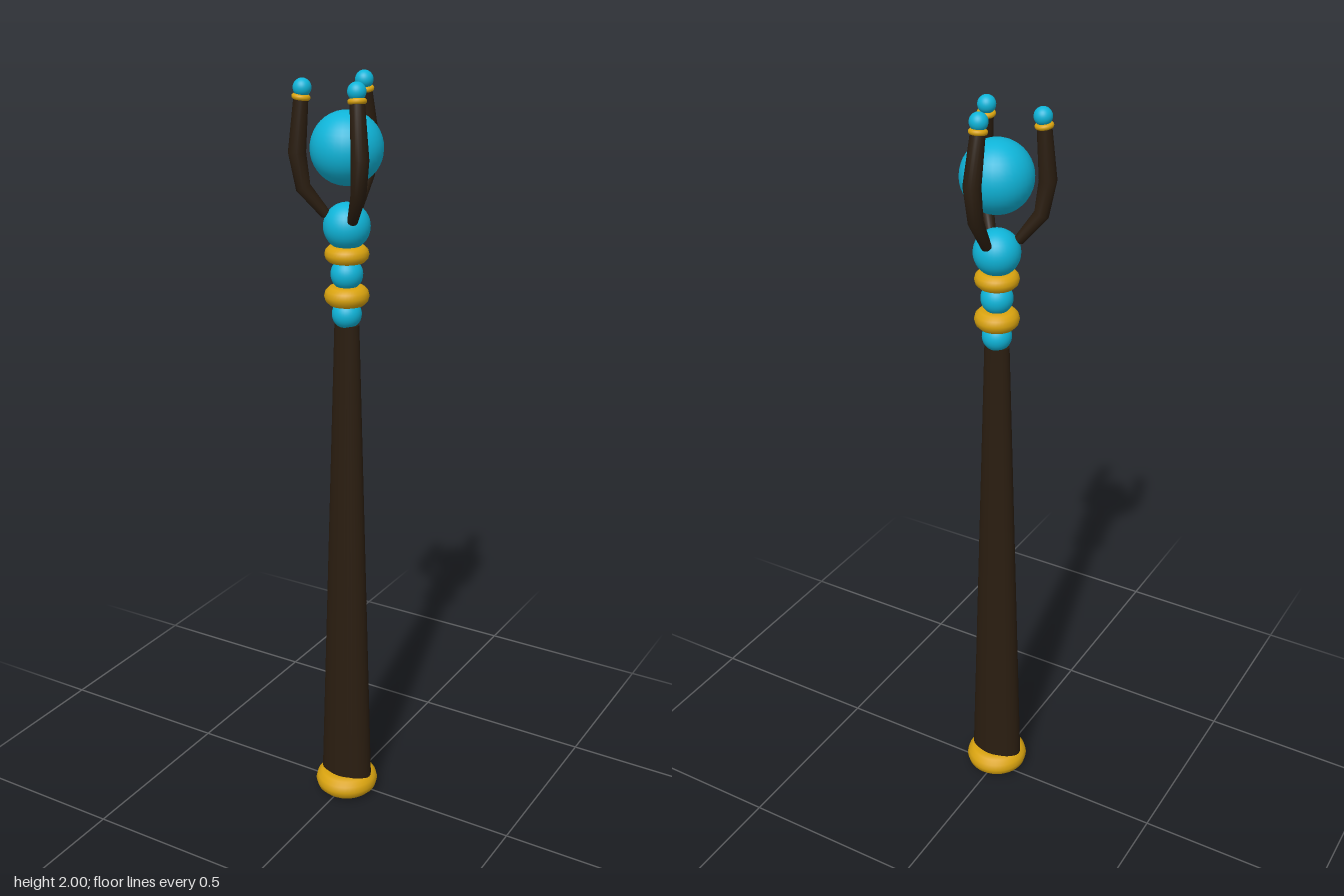
import * as THREE from 'three';

const blue = new THREE.MeshStandardMaterial({ color: 0x0fb4d8 });
const gold = new THREE.MeshStandardMaterial({ color: 0xd9a30f });
const wood = new THREE.MeshStandardMaterial({ color: 0x2a1d10, side: THREE.DoubleSide });

function add(parent, name, geometry, material, x = 0, y = 0, z = 0) {
  const mesh = new THREE.Mesh(geometry, material);
  mesh.name = name;
  mesh.position.set(x, y, z);
  parent.add(mesh);
  return mesh;
}

const ball = (r) => new THREE.SphereGeometry(r, 32, 20);
const ring = (r, tube) => new THREE.TorusGeometry(r, tube, 12, 40).rotateX(Math.PI / 2);

// Bent tapering rod in the XY plane; each section is [x, y, radius]
function bentRod(sections, sides = 16) {
  const pos = [], index = [];
  const last = sections.length - 1;
  sections.forEach(([x, y, r], i) => {
    const a = sections[Math.max(i - 1, 0)], b = sections[Math.min(i + 1, last)];
    const len = Math.hypot(b[0] - a[0], b[1] - a[1]);
    const nx = (b[1] - a[1]) / len, ny = -(b[0] - a[0]) / len;
    for (let j = 0; j < sides; j++) {
      const t = (j / sides) * Math.PI * 2;
      const c = Math.cos(t) * r;
      pos.push(x + nx * c, y + ny * c, Math.sin(t) * r);
      if (i < last) {
        const k = (j + 1) % sides;
        const p = i * sides + j, q = i * sides + k;
        index.push(p, p + sides, q, q, p + sides, q + sides);
      }
    }
  });
  const g = new THREE.BufferGeometry();
  g.setAttribute('position', new THREE.Float32BufferAttribute(pos, 3));
  g.setIndex(index);
  g.computeVertexNormals();
  return g;
}

// Claw leaning outwards from the staff axis, with a gold band and a bead at the tip
function claw(name, degrees, bead, band, bend, elbow, foot) {
  const g = new THREE.Group();
  g.name = name;
  add(g, 'clawRod', bentRod([
    [foot[0] - 0.006, foot[1] - 0.007, 0.005],
    [...foot, 0.013],
    [...elbow, 0.019],
    [...bend, 0.022],
    [...band, 0.018],
    [bead[0], bead[1] - 0.008, 0.014],
  ]), wood);
  const tipBand = add(g, 'clawBand', ring(0.016, 0.007), gold, ...band);
  tipBand.rotation.z = Math.atan2(band[0] - bead[0], bead[1] - band[1]);
  add(g, 'clawBead', ball(0.0225), blue, ...bead);
  g.rotation.y = -THREE.MathUtils.degToRad(degrees);
  return g;
}

export function createModel() {
  const staff = new THREE.Group();
  staff.name = 'staff';
  staff.position.set(0.004, 0, 0.018);

  // Shaft: tapering, flattened from front to back
  const shaft = new THREE.CylinderGeometry(0.034, 0.075, 1.35, 32, 1).scale(1, 1, 0.67);
  add(staff, 'shaft', shaft, wood, 0, 0.71, 0);
  add(staff, 'footRing', ring(0.055, 0.032), gold, 0, 0.033, 0);

  // Neck: alternating beads and rings
  [[1.412, 0.038], [1.515, 0.041], [1.635, 0.059]].forEach(([y, r]) =>
    add(staff, 'neckBead', ball(r), blue, 0, y, 0));
  [[1.46, 0.031, 0.026], [1.566, 0.034, 0.022]].forEach(([y, r, tube]) =>
    add(staff, 'neckRing', ring(r, tube), gold, 0, y, 0));

  // Orb held by three claws
  add(staff, 'orb', ball(0.09), blue, 0, 1.825, 0);
  staff.add(
    claw('backClaw', -90, [0.083, 1.977], [0.086, 1.955], [0.115, 1.835], [0.1, 1.745], [0.05, 1.665]),
    claw('rightClaw', 149.5, [0.106, 1.967], [0.109, 1.945], [0.12, 1.815], [0.106, 1.73], [0.052, 1.665]),
    claw('leftClaw', 45, [0.091, 1.969], [0.095, 1.947], [0.122, 1.815], [0.108, 1.73], [0.054, 1.657]),
  );

  const model = new THREE.Group();
  model.name = 'model';
  model.add(staff);
  return model;
}
